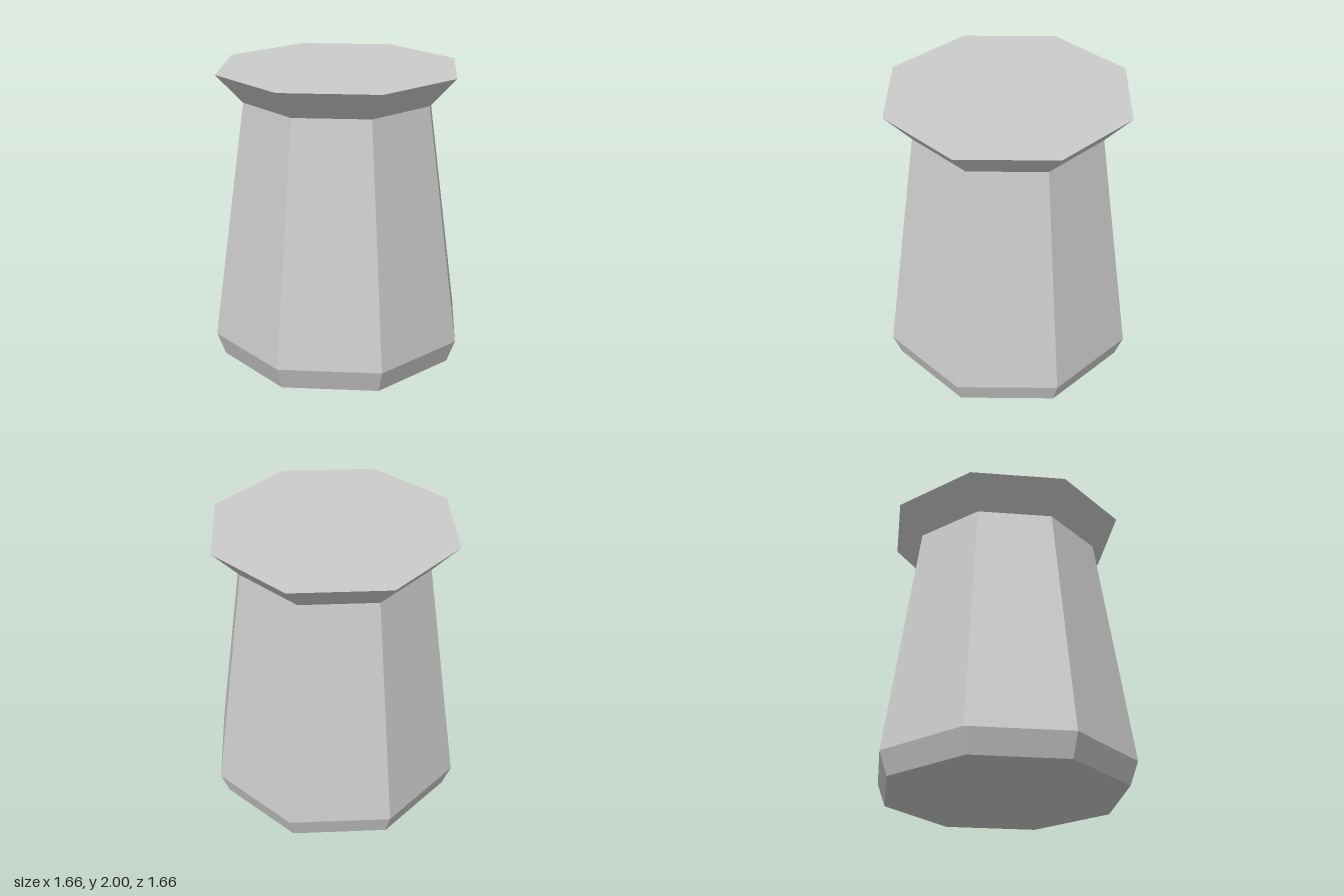
import * as THREE from 'three';

const SIDES = 8;
const toCorner = 1 / Math.cos(Math.PI / SIDES); // flat-to-centre distance -> corner radius

export function createModel() {
  const model = new THREE.Group();
  model.name = 'octagonalPedestal';
  const stone = new THREE.MeshStandardMaterial({ color: 0xcccccc });
  stone.name = 'pale grey';
  stone.flatShading = true;

  // Open octagonal ring with flat sides facing the front and the sides
  function addRing(name, y0, flat0, y1, flat1) {
    const geometry = new THREE.CylinderGeometry(
      flat1 * toCorner, flat0 * toCorner, y1 - y0, SIDES, 1, true, Math.PI / SIDES);
    const mesh = new THREE.Mesh(geometry, stone);
    mesh.name = name;
    mesh.position.y = (y0 + y1) / 2;
    model.add(mesh);
  }

  // Octagonal end plate facing up or down
  function addCap(name, y, flat, up) {
    const geometry = new THREE.CircleGeometry(flat * toCorner, SIDES, Math.PI / SIDES);
    geometry.rotateX(up ? -Math.PI / 2 : Math.PI / 2);
    const mesh = new THREE.Mesh(geometry, stone);
    mesh.name = name;
    mesh.position.y = y;
    model.add(mesh);
  }

  addCap('underside', 0, 0.776, false);
  addRing('footBevel', 0, 0.776, 0.16, 0.829);
  addRing('taperedShaft', 0.16, 0.829, 1.803, 0.609);
  addRing('flaredCollar', 1.803, 0.609, 2, 0.775);
  addCap('topPlate', 2, 0.775, true);

  return model;
}
